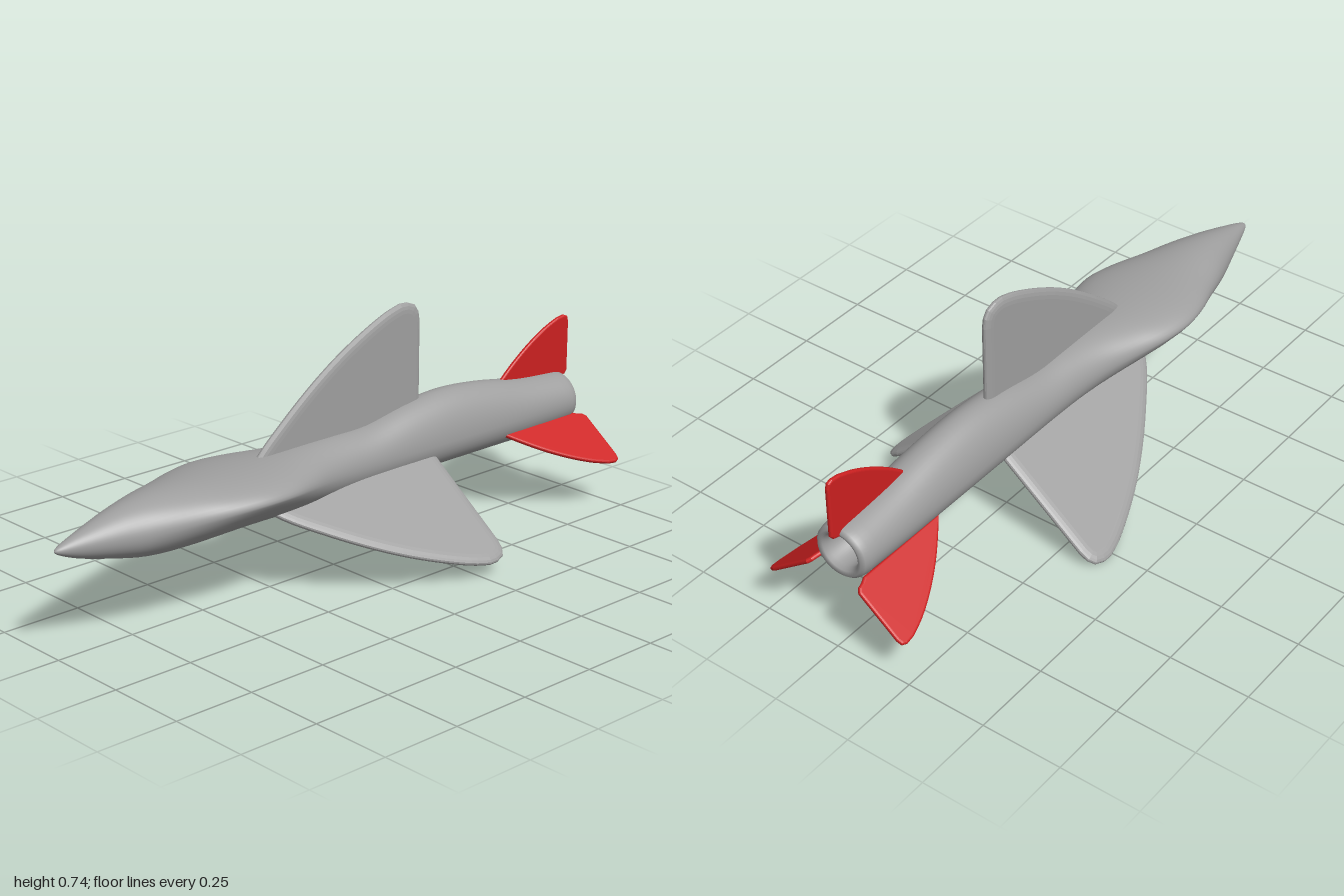
import * as THREE from 'three';

const grey = new THREE.MeshStandardMaterial({ color: 0x9f9f9f });
const red = new THREE.MeshStandardMaterial({ color: 0xcc2020 });

// Fuselage stations: z, half width, top, bottom
const STATIONS = [
  [1.0, 0, 0.31, 0.31],
  [0.985, 0.013, 0.322, 0.298],
  [0.92, 0.036, 0.345, 0.272],
  [0.8, 0.076, 0.379, 0.242],
  [0.7, 0.11, 0.395, 0.224],
  [0.6, 0.14, 0.4, 0.219],
  [0.5, 0.173, 0.401, 0.218],
  [0.4, 0.19, 0.402, 0.218],
  [0.3, 0.178, 0.402, 0.219],
  [0.2, 0.143, 0.403, 0.22],
  [0.1, 0.11, 0.404, 0.22],
  [0, 0.094, 0.404, 0.22],
  [-0.12, 0.089, 0.406, 0.22],
  [-0.28, 0.089, 0.434, 0.22],
  [-0.44, 0.089, 0.448, 0.22],
  [-0.6, 0.089, 0.436, 0.22],
  [-0.77, 0.089, 0.409, 0.22],
  [-0.94, 0.089, 0.395, 0.225],
];
// Rolled lip and hollow exhaust: z, scale of the last station
const EXHAUST = [[-0.96, 0.95], [-0.97, 0.84], [-0.965, 0.69], [-0.95, 0.62], [-0.84, 0.58], [-0.84, 0]];

// The widest point rises and the belly turns V-shaped where the body is broad
const breadth = (w) => THREE.MathUtils.clamp((w - 0.09) / 0.1, 0, 1);
const midHeight = (w) => 0.31 + 0.035 * breadth(w);

function fuselageRings() {
  const last = STATIONS.length - 1, rings = [];
  for (let i = 0; i < last; i++) {
    const [a, b, c, d] = [i - 1, i, i + 1, i + 2].map((k) => STATIONS[THREE.MathUtils.clamp(k, 0, last)]);
    for (let t = 0; t < 1; t += 0.25) {
      rings.push(b.map((v, n) => v + 0.5 * t * (c[n] - a[n]
        + t * (2 * a[n] - 5 * v + 4 * c[n] - d[n] + t * (3 * (v - c[n]) + d[n] - a[n])))));
    }
  }
  const [, w, top, bottom] = STATIONS[last], mid = midHeight(w);
  rings.push(STATIONS[last]);
  for (const [z, k] of EXHAUST) rings.push([z, w * k, mid + (top - mid) * k, mid + (bottom - mid) * k]);
  return rings;
}

function fuselageGeometry(sides = 48) {
  const pos = [], index = [], rings = fuselageRings();
  for (const [z, w, top, bottom] of rings) {
    const mid = midHeight(w);
    const bellyPower = 2 / (2 - 0.67 * breadth(w) ** 0.8);
    for (let j = 0; j < sides; j++) {
      const a = (j / sides) * Math.PI * 2, c = Math.cos(a), s = Math.sin(a);
      const power = s < 0 ? bellyPower : 1;
      const x = w * Math.sign(c) * Math.abs(c) ** power;
      const y = s < 0 ? mid - (mid - bottom) * (-s) ** power : mid + (top - mid) * s;
      pos.push(x, y, z);
    }
  }
  for (let i = 0; i < rings.length - 1; i++) {
    for (let j = 0; j < sides; j++) {
      const k = (j + 1) % sides;
      const a = i * sides + j, b = a + sides, c = i * sides + k, d = c + sides;
      index.push(a, b, c, c, b, d);
    }
  }
  const g = new THREE.BufferGeometry();
  g.setAttribute('position', new THREE.Float32BufferAttribute(pos, 3));
  g.setIndex(index);
  g.computeVertexNormals();
  return g;
}

// Fin outline in (z, distance from the axis), extruded with an edge that thins outward
function finGeometry(leading, trailing, thickness, edge) {
  const curve = new THREE.SplineCurve(leading.map((p) => new THREE.Vector2(...p)));
  const points = [...curve.getPoints(28), ...trailing.map((p) => new THREE.Vector2(...p))];
  const shape = new THREE.Shape(points.map((p) => new THREE.Vector2(-p.x, p.y)));
  const bevel = thickness * 0.42;
  const depth = thickness - 2 * bevel;
  const g = new THREE.ExtrudeGeometry(shape, {
    depth, bevelEnabled: true, bevelThickness: bevel, bevelSize: edge, bevelOffset: -edge, bevelSegments: 4,
  });
  g.translate(0, 0, -depth / 2);
  g.rotateY(Math.PI / 2); // shape x becomes -z, shape y stays radial
  return g;
}

export function createModel() {
  const model = new THREE.Group();

  const fuselage = new THREE.Mesh(fuselageGeometry(), grey);
  fuselage.name = 'fuselage';
  model.add(fuselage);

  const wing = finGeometry(
    [[0.38, 0.03], [0.29, 0.145], [0.2, 0.225], [0.1, 0.303], [0, 0.37], [-0.1, 0.425], [-0.2, 0.47], [-0.265, 0.489]],
    [[-0.295, 0.488], [-0.325, 0.477], [-0.34, 0.455], [-0.345, 0.425], [-0.345, 0.03]], 0.026, 0.03);
  const tail = finGeometry(
    [[-0.64, 0.088], [-0.69, 0.135], [-0.75, 0.185], [-0.82, 0.233], [-0.89, 0.271], [-0.95, 0.294]],
    [[-0.98, 0.298], [-0.995, 0.292], [-1, 0.275], [-1, 0.115], [-0.99, 0.102], [-0.972, 0.097], [-0.955, 0.088]],
    0.014, 0.007);

  // Three fins around the axis in each set: side, x, wing root height, tail root height, roll
  const mounts = [
    ['upper', -0.004, 0.255, 0.275, 0],
    ['lowerRight', -0.002, 0.308, 0.31, Math.PI / 2 + 0.674],
    ['lowerLeft', -0.008, 0.332, 0.322, -Math.PI / 2 - 0.637],
  ];
  for (const [side, x, wingY, tailY, roll] of mounts) {
    for (const [part, geometry, material, px, py] of [
      ['Wing', wing, grey, x, wingY], ['TailFin', tail, red, 0, tailY]]) {
      const fin = new THREE.Mesh(geometry, material);
      fin.name = side + part;
      fin.position.set(px, py, 0);
      fin.rotation.z = roll;
      model.add(fin);
    }
  }
  return model;
}
